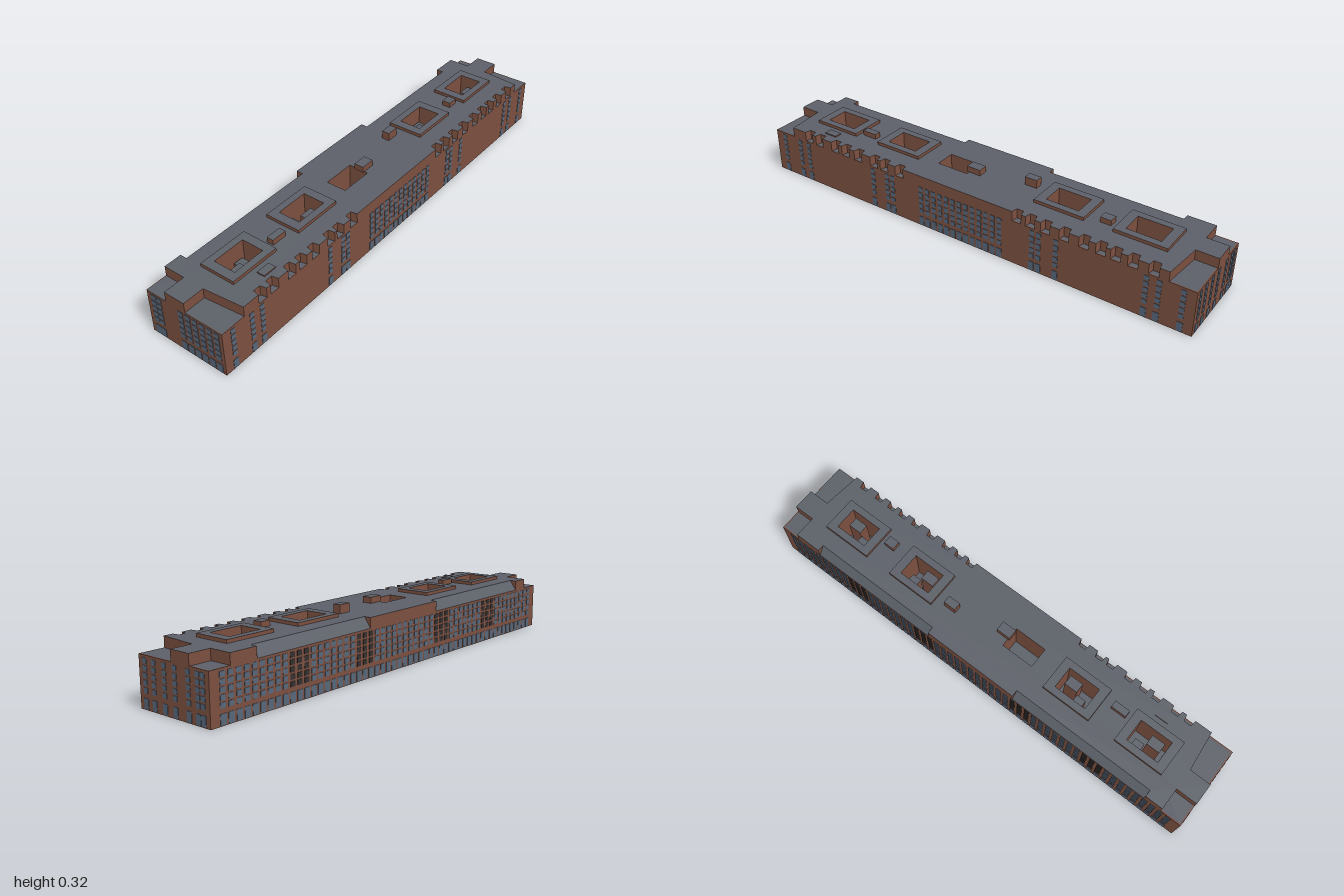
import * as THREE from 'three';
import { mergeGeometries } from 'three/addons/utils/BufferGeometryUtils.js';

const mat = (color) => new THREE.MeshStandardMaterial({ color, side: THREE.DoubleSide, flatShading: true });
const L = 1.198, W = 0.212, EAVE = 0.23, ROOF = 0.28;

// outline points are [along, across]; across runs towards the street side
const path = (pts, Type) => new Type(pts.map(([u, v]) => new THREE.Vector2(u, -v)));
const rect = (u, v, w, d) => [[u - w / 2, v - d / 2], [u + w / 2, v - d / 2], [u + w / 2, v + d / 2], [u - w / 2, v + d / 2]];

export function createModel() {
  const model = new THREE.Group();
  const building = new THREE.Group();
  building.name = 'building';
  building.rotation.y = Math.PI / 4;
  model.add(building);

  const brick = mat(0x7c5040), slate = mat(0x5c6068), glass = mat(0x56677a), dark = mat(0x35302f);

  const add = (name, geo, material) => {
    const mesh = new THREE.Mesh(geo, material);
    mesh.name = name;
    building.add(mesh);
    return mesh;
  };
  const box = (name, u, v, y0, y1, w, d, material) => {
    const geo = new THREE.BoxGeometry(w, y1 - y0, d);
    geo.translate(u, (y0 + y1) / 2, v);
    return add(name, geo, material);
  };
  // slab with slate faces and brick sides
  const slab = (name, outline, holes, y0, y1, materials = [slate, brick]) => {
    const shape = path(outline, THREE.Shape);
    shape.holes = holes.map((h) => path(h, THREE.Path));
    const geo = new THREE.ExtrudeGeometry(shape, { depth: y1 - y0, bevelEnabled: false });
    geo.rotateX(-Math.PI / 2);
    geo.translate(0, y0, 0);
    return add(name, geo, materials);
  };

  // outer walls, open underneath
  const t = 0.006;
  for (const s of [-1, 1]) {
    box('longWall', 0, s * (W - t / 2), 0, EAVE, 2 * L, t, brick);
    box('endWall', s * (L - t / 2), 0, 0, EAVE, t, 2 * W - 2 * t, brick);
  }

  // light wells
  const wells = [-0.87, -0.465, 0.465, 0.87].map((u) => ({ u, v: 0, w: 0.17, d: 0.115, rim: 0.045 }));
  wells.push({ u: -0.147, v: 0.011, w: 0.17, d: 0.105, rim: 0 });
  const holes = wells.map((p) => rect(p.u, p.v, p.w, p.d));

  // ledge at eaves level, seen at the low corners
  slab('eavesRoof', rect(0, 0, 2 * L, 2 * W), holes, EAVE - 0.006, EAVE);

  // top storey outline: stepped corners, notched street edge, recessed rear edge
  const E = 1.09, rear = -W + 0.035;
  const outline = [
    [-E, -W], [-1.0, -W], [-1.0, rear], [-0.25, rear], [-0.25, -W], [0.255, -W],
    [0.255, rear], [0.95, rear], [0.95, -W], [E, -W],
    [E, -0.1], [L, -0.1], [L, 0.01], [E, 0.01], [E - 0.02, W],
  ];
  const notch = (u) => outline.push([u + 0.024, W], [u + 0.018, W - 0.032], [u - 0.018, W - 0.032], [u - 0.024, W]);
  for (let i = 0; i < 9; i++) notch(1.0 - i * 0.086 + 0.012 * Math.sin(i * 5));
  for (let i = 0; i < 8; i++) notch(-0.36 - i * 0.086 + 0.012 * Math.sin(i * 4));
  outline.push([-E + 0.02, W], [-E, 0.01], [-L, 0.01], [-L, -0.1], [-E, -0.1]);
  slab('topStorey', outline, holes, EAVE, ROOF);

  // sloping roof along the recessed rear edge
  for (const [a, b] of [[-1.0, -0.25], [0.255, 0.95]]) {
    const profile = new THREE.Shape([[W, EAVE], [-rear, ROOF], [-rear, EAVE]].map(([x, y]) => new THREE.Vector2(x, y)));
    const geo = new THREE.ExtrudeGeometry(profile, { depth: b - a, bevelEnabled: false });
    geo.rotateY(Math.PI / 2);
    geo.translate(a, 0, 0);
    add('rearSlope', geo, slate);
  }

  // well shafts, raised rims, floors and the structures inside them
  wells.forEach((p, i) => {
    const inner = rect(p.u, p.v, p.w, p.d);
    slab('wellShaft', rect(p.u, p.v, p.w + 0.008, p.d + 0.008), [inner], 0.1, ROOF - 0.001, [brick, brick]);
    box('wellFloor', p.u, p.v, 0.1, 0.104, p.w, p.d, slate);
    if (!p.rim) return;
    slab('wellRim', rect(p.u, p.v, p.w + 2 * p.rim, p.d + 0.07), [inner], ROOF, 0.296);
    const s = i % 2 ? 1 : -1;
    slab('wellCore', rect(p.u + s * 0.03, p.v + 0.02, 0.07, 0.05), [], 0.104, 0.25);
    slab('wellCore', rect(p.u - s * 0.035, p.v - 0.025, 0.05, 0.04), [], 0.104, 0.22);
  });

  // rooftop huts: along, across, width, depth, top
  for (const [u, v, w, d, y] of [
    [-0.035, 0.02, 0.075, 0.05, 0.31], [0.25, -0.035, 0.065, 0.04, 0.322],
    [0.686, 0.035, 0.055, 0.045, 0.306], [-0.68, 0.04, 0.08, 0.035, 0.306],
    [-0.855, 0.14, 0.07, 0.04, 0.286],
  ]) slab('roofHut', rect(u, v, w, d), [], ROOF, y);

  // windows, collected per colour and merged
  const panes = { glass: [], dark: [] };
  const pane = (kind, side, pos, y, w, h) => {
    const geo = new THREE.BoxGeometry(w, h, 0.012);
    geo.translate(0, y, side.reach);
    geo.rotateY(side.turn);
    const along = side.turn === 0 || side.turn === Math.PI;
    geo.translate(along ? pos : 0, 0, along ? 0 : pos);
    panes[kind].push(geo);
  };
  const street = { turn: 0, reach: W - 0.004 }, back = { turn: Math.PI, reach: W - 0.004 };
  const endA = { turn: Math.PI / 2, reach: L - 0.004 }, endB = { turn: -Math.PI / 2, reach: L - 0.004 };
  const column = (side, pos, w = 0.024, kind = 'glass') => {
    for (let r = 0; r < 5; r++) pane(kind, side, pos, 0.083 + r * 0.031, w, 0.023);
    pane('glass', side, pos, 0.027, w + 0.004, 0.046);
  };
  // street front: a dense middle bay and paired columns
  for (let i = 0; i < 13; i++) column(street, -0.228 + i * 0.038);
  for (const s of [-1, 1])
    for (const u of [0.405, 0.44, 0.53, 0.97, 1.03, 1.14]) column(street, s * u);
  // rear front: continuous columns, with darker recessed bays
  for (let i = 0; i < 55; i++) {
    const u = -1.134 + i * 0.042;
    column(back, u, 0.027, [0.31, 0.7].some((c) => Math.abs(Math.abs(u) - c) < 0.06) ? 'dark' : 'glass');
  }
  // ends
  for (const v of [-0.175, -0.145, -0.09, -0.01, 0.055, 0.12, 0.175]) column(endA, v);
  for (const v of [-0.175, -0.145, -0.02, 0.02, 0.06, 0.1, 0.14, 0.18]) column(endB, v, 0.028);

  add('windows', mergeGeometries(panes.glass), glass);
  add('recessedWindows', mergeGeometries(panes.dark), dark);
  return model;
}
